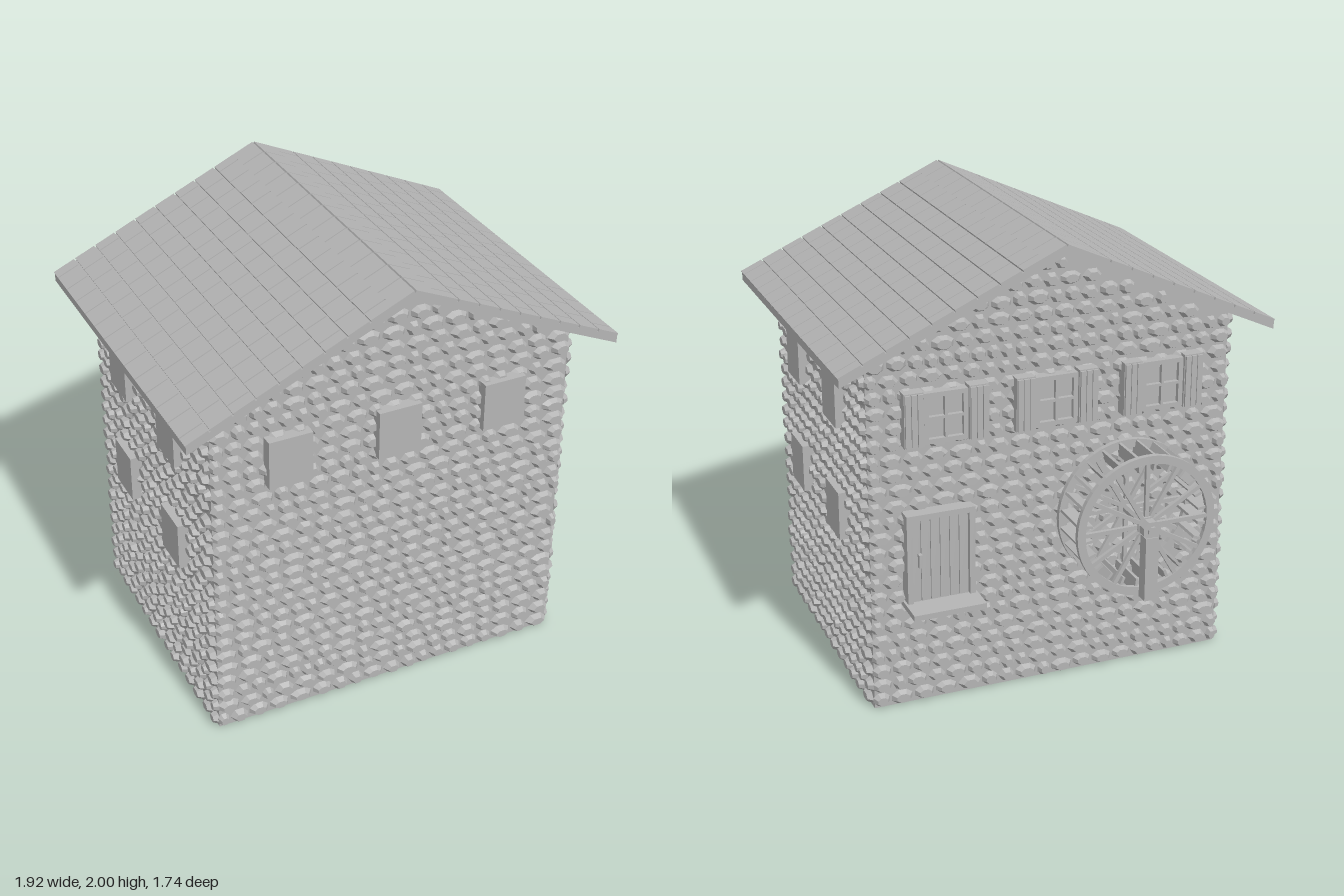
import * as THREE from 'three';
import { mergeGeometries } from 'three/addons/utils/BufferGeometryUtils.js';

const grey = new THREE.MeshStandardMaterial({ color: 0xb4b4b4 });
const CZ = 0.115, HX = 0.81, HZ = 0.62;   // house centre in z, half width, half depth
const SLOPE = 0.45, PITCH = 0.0685;

let seed = 7;
const rnd = () => (seed = (seed * 16807) % 2147483647) / 2147483647;

const flat = (g) => { const f = g.index ? g.toNonIndexed() : g; f.computeVertexNormals(); return f; };

// Box given by its limits on each axis
const box = (x0, x1, y0, y1, z0, z1) =>
  flat(new THREE.BoxGeometry(x1 - x0, y1 - y0, z1 - z0)
    .translate((x0 + x1) / 2, (y0 + y1) / 2, (z0 + z1) / 2));

function add(parent, name, geos) {
  const list = [].concat(geos);
  const mesh = new THREE.Mesh(list.length > 1 ? mergeGeometries(list) : list[0], grey);
  mesh.name = name;
  parent.add(mesh);
  return mesh;
}

function extrude(points, depth) {
  const shape = new THREE.Shape(points.map((p) => new THREE.Vector2(...p)));
  return new THREE.ExtrudeGeometry(shape, { depth, bevelEnabled: false });
}

// Bevelled stones with six or eight sides, facing +z
const stoneShapes = [6, 8].map((n) => flat(
  new THREE.CylinderGeometry(0.62, 1, 1, n, 1)
    .rotateY(n === 6 ? Math.PI / 2 : Math.PI / 8).rotateX(Math.PI / 2).translate(0, 0, 0.5)));

function stones(half, dist, gable) {
  const out = [];
  for (let r = 0; r < (gable ? 28 : 23); r++) {
    const y = 0.036 + r * PITCH;
    const h = Math.min(half + 0.01, gable ? (1.9 - y) / SLOPE + 0.03 : 9);
    let u = -h;
    while (u < h - 0.03) {
      let w = 0.058 + 0.055 * rnd();
      if (h - u - w < 0.045) w = Math.min(h - u, 0.115);
      out.push(stoneShapes[rnd() < 0.55 ? 0 : 1].clone()
        .scale(w * 0.48, 0.029 + 0.005 * rnd(), 0.022 + 0.006 * rnd())
        .translate(u + w / 2, y + 0.008 * (rnd() - 0.5), dist));
      u += w;
    }
  }
  return out;
}

// One wall face, built facing +z and turned into place
function wallFace(house, name, angle, half, dist, gable) {
  const face = new THREE.Group();
  face.name = name;
  face.position.z = CZ;
  face.rotation.y = angle;
  add(face, name + 'Stones', stones(half, dist, gable));
  house.add(face);
  return face;
}

// Paned window with a pair of plank shutters
function shutteredWindow(face, x) {
  const parts = [box(x - 0.095, x + 0.095, 1.2, 1.42, HZ, 0.648)];
  for (const s of [-1, 0, 1]) {
    const c = x + s * 0.085, t = s ? 0.01 : 0.006;
    parts.push(box(c - t, c + t, 1.2, 1.42, 0.64, 0.668));
    const y = 1.31 + s * 0.1;
    parts.push(box(x - 0.095, x + 0.095, y - t, y + t, 0.64, 0.668));
  }
  add(face, 'window', parts);
  const leaves = [];
  for (const s of [-1, 1]) {
    const c = x + s * 0.14;
    leaves.push(box(c - 0.042, c + 0.042, 1.195, 1.43, HZ, 0.675));
    for (const k of [-1, 0, 1])
      leaves.push(box(c + k * 0.027 - 0.012, c + k * 0.027 + 0.012, 1.2, 1.425, 0.67, 0.685));
  }
  add(face, 'shutters', leaves);
}

function addDoor(face) {
  const x = -0.52, planks = [box(x - 0.13, x + 0.13, 0.5, 0.88, HZ, 0.662)];
  for (let i = 0; i < 6; i++)
    planks.push(box(x - 0.126 + i * 0.042, x - 0.088 + i * 0.042, 0.5, 0.87, 0.655, 0.67));
  add(face, 'door', planks);
  add(face, 'doorFrame', [
    box(x - 0.15, x - 0.125, 0.5, 0.9, HZ, 0.685),
    box(x + 0.125, x + 0.15, 0.5, 0.9, HZ, 0.685),
    box(x - 0.15, x + 0.15, 0.875, 0.9, HZ, 0.685)]);
  add(face, 'doorHandle', box(x - 0.1, x - 0.085, 0.66, 0.72, 0.665, 0.69));
  add(face, 'doorStep', box(x - 0.16, x + 0.16, 0.475, 0.5, HZ, 0.79));
}

function addRoof(house) {
  const roof = new THREE.Group();
  roof.name = 'roof';
  const X = 0.955, top = 1.988, under = 1.955, z0 = -0.64, depth = 1.51;
  const e = X * SLOPE;
  add(roof, 'roofBoards', extrude([[-X, under - e], [0, under], [X, under - e],
    [X, top - e], [0, top], [-X, top - e]], depth).translate(0, 0, z0));
  // Staggered tiles with narrow grooves between them
  const angle = Math.atan(SLOPE), len = X / Math.cos(angle), course = len / 10, tile = depth / 13;
  for (const s of [-1, 1]) {
    const tiles = [];
    for (let r = 0; r < 10; r++) {
      const a = r * course, b = a + course - (r > 0 && r < 9 ? 0.007 : 0);
      for (let i = 0; i < 14; i++) {
        const p = Math.max(0, (i - (r % 2) / 2) * tile), q = Math.min(depth, (i + 1 - (r % 2) / 2) * tile);
        if (q - p < 0.01) continue;
        const g = box(a, b, -0.004, 0.011, z0 + p + (p > 0 ? 0.003 : 0), z0 + q - (q < depth ? 0.003 : 0));
        g.rotateZ(-angle);
        if (s < 0) g.rotateY(Math.PI).translate(0, 0, 2 * z0 + depth);
        tiles.push(g.translate(0, top, 0));
      }
    }
    add(roof, s < 0 ? 'rightTiles' : 'leftTiles', tiles);
  }
  house.add(roof);
}

function addWheel(house) {
  const wheel = new THREE.Group();
  wheel.name = 'waterWheel';
  wheel.position.set(-0.303, 0.795, 0);
  // Two rims with spokes
  const ring = new THREE.Shape().absarc(0, 0, 0.316, 0, Math.PI * 2);
  ring.holes.push(new THREE.Path().absarc(0, 0, 0.28, 0, Math.PI * 2, true));
  for (const z of [-0.615, -0.81]) {
    add(wheel, 'rim', flat(new THREE.ExtrudeGeometry(ring,
      { depth: 0.022, bevelEnabled: false, curveSegments: 24 }).translate(0, 0, z)));
    const spokes = [];
    for (let i = 0; i < 12; i++)
      spokes.push(box(0.02, 0.285, -0.009, 0.009, z + 0.003, z + 0.019).rotateZ(i * Math.PI / 6));
    add(wheel, 'spokes', spokes);
  }
  // Paddles between the rims
  const paddles = [];
  for (let i = 0; i < 24; i++)
    paddles.push(box(0.245, 0.31, -0.006, 0.006, -0.8, -0.6).rotateZ((i + 0.5) * Math.PI / 12));
  add(wheel, 'paddles', paddles);
  const drum = (r, z0, z1) => flat(new THREE.CylinderGeometry(r, r, z1 - z0, 8)
    .rotateY(Math.PI / 8).rotateX(Math.PI / 2).translate(0, 0, (z0 + z1) / 2));
  add(wheel, 'axle', drum(0.022, -0.872, -0.5));
  add(wheel, 'hub', [drum(0.043, -0.862, -0.822), drum(0.045, -0.815, -0.78), drum(0.045, -0.62, -0.585)]);
  add(wheel, 'wheelPost', box(-0.03, 0.03, -0.32, -0.03, -0.866, -0.812));
  house.add(wheel);
}

export function createModel() {
  const house = new THREE.Group();
  house.name = 'stoneMill';

  // Wall core with gables
  const eave = 1.96 - SLOPE * HX;
  add(house, 'walls', extrude([[-HX, 0], [HX, 0], [HX, eave], [0, 1.96], [-HX, eave]], 2 * HZ)
    .translate(0, 0, CZ - HZ));

  const front = wallFace(house, 'frontWall', 0, HX, HZ, true);
  const back = wallFace(house, 'backWall', Math.PI, HX, HZ, true);
  for (const x of [-0.485, 0, 0.485]) {
    add(front, 'frontWindow', box(x - 0.096, x + 0.096, 1.2, 1.42, HZ, 0.672));
    shutteredWindow(back, x);
  }
  addDoor(back);

  // Side walls with two rows of plain windows
  for (const s of [-1, 1]) {
    const side = wallFace(house, s < 0 ? 'rightWall' : 'leftWall', s * Math.PI / 2, HZ, HX, false);
    for (const z of [0.388, -0.157]) for (const y of [0.69, 1.2]) {
      const u = -s * (z - CZ);
      add(side, 'sideWindow', box(u - 0.093, u + 0.093, y, y + 0.215, HX, 0.862));
    }
  }

  addRoof(house);
  addWheel(house);
  return house;
}
